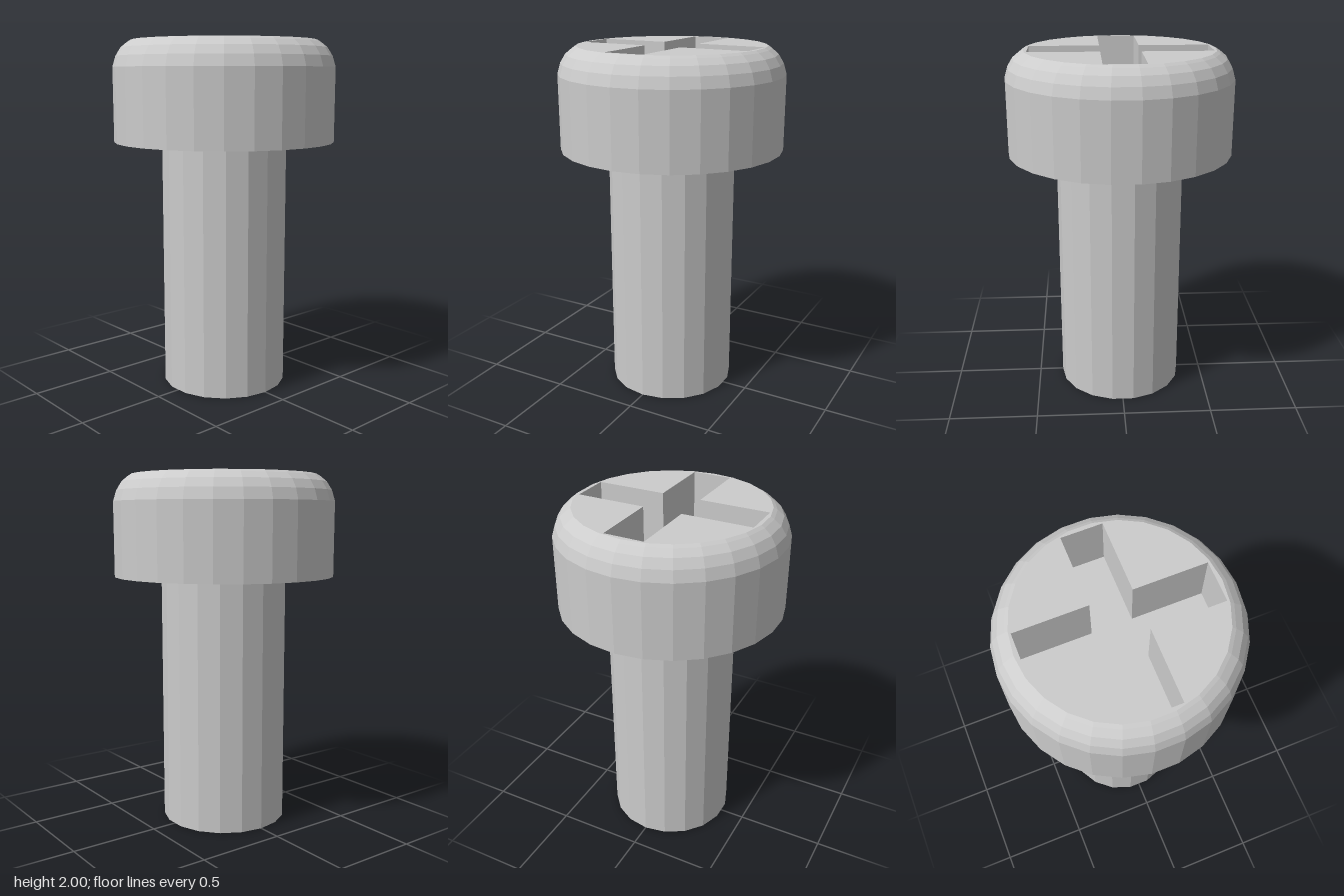
import * as THREE from 'three';

const HEAD_SIDES = 26, SHAFT_SIDES = 18;
const SHAFT_R = 0.36, HEAD_BASE = 1.43, TOP = 2, CAP_R = 0.525;
const SLOT_HALF = 0.11, SLOT_REACH = 0.5, SLOT_DEPTH = 0.32;

const material = new THREE.MeshStandardMaterial({ color: 0xcccccc, flatShading: true });

function part(name, geometry) {
  const mesh = new THREE.Mesh(geometry, material);
  mesh.name = name;
  return mesh;
}

function lathe(points, sides) {
  return new THREE.LatheGeometry(points.map(([r, y]) => new THREE.Vector2(r, y)), sides);
}

// Lay a flat shape horizontally, facing up, at height y
function flat(shape, y) {
  return new THREE.ShapeGeometry(shape).rotateX(-Math.PI / 2).translate(0, y, 0);
}

// Counter-clockwise outline of the cross recess, one arm per quarter turn
function crossOutline() {
  const points = [];
  for (let i = 0; i < 4; i++) {
    for (const [x, y] of [[SLOT_REACH, -SLOT_HALF], [SLOT_REACH, SLOT_HALF], [SLOT_HALF, SLOT_HALF]]) {
      points.push(new THREE.Vector2(x, y).rotateAround(new THREE.Vector2(), i * Math.PI / 2));
    }
  }
  return points;
}

// Upright walls facing into the recess
function recessWalls(outline, low, high) {
  const positions = [];
  outline.forEach((a, i) => {
    const b = outline[(i + 1) % outline.length];
    positions.push(a.x, low, -a.y, a.x, high, -a.y, b.x, high, -b.y);
    positions.push(a.x, low, -a.y, b.x, high, -b.y, b.x, low, -b.y);
  });
  const geometry = new THREE.BufferGeometry();
  geometry.setAttribute('position', new THREE.Float32BufferAttribute(positions, 3));
  geometry.computeVertexNormals();
  return geometry;
}

export function createModel() {
  const group = new THREE.Group();
  group.name = 'screw';

  // Plain shaft with a closed lower end
  group.add(part('shaft', lathe([[0, 0], [SHAFT_R, 0], [SHAFT_R, HEAD_BASE]], SHAFT_SIDES)));

  // Head: flat underside, straight side and rounded shoulder
  group.add(part('head', lathe([
    [SHAFT_R - 0.01, HEAD_BASE], [0.63, HEAD_BASE], [0.63, 1.85],
    [0.612, 1.91], [0.583, 1.957], [0.545, 1.988], [CAP_R, TOP],
  ], HEAD_SIDES)));

  // Top face, cut through by the cross
  const outline = crossOutline();
  const rim = [];
  for (let i = 0; i < HEAD_SIDES; i++) {
    const a = Math.PI / 2 + i * 2 * Math.PI / HEAD_SIDES;
    rim.push(new THREE.Vector2(CAP_R * Math.cos(a), CAP_R * Math.sin(a)));
  }
  const cap = new THREE.Shape(rim);
  cap.holes.push(new THREE.Path(outline));
  group.add(part('headTop', flat(cap, TOP)));

  // Cross recess
  const floorY = TOP - SLOT_DEPTH;
  group.add(part('recessWalls', recessWalls(outline, floorY, TOP)));
  group.add(part('recessFloor', flat(new THREE.Shape(outline), floorY)));

  return group;
}
